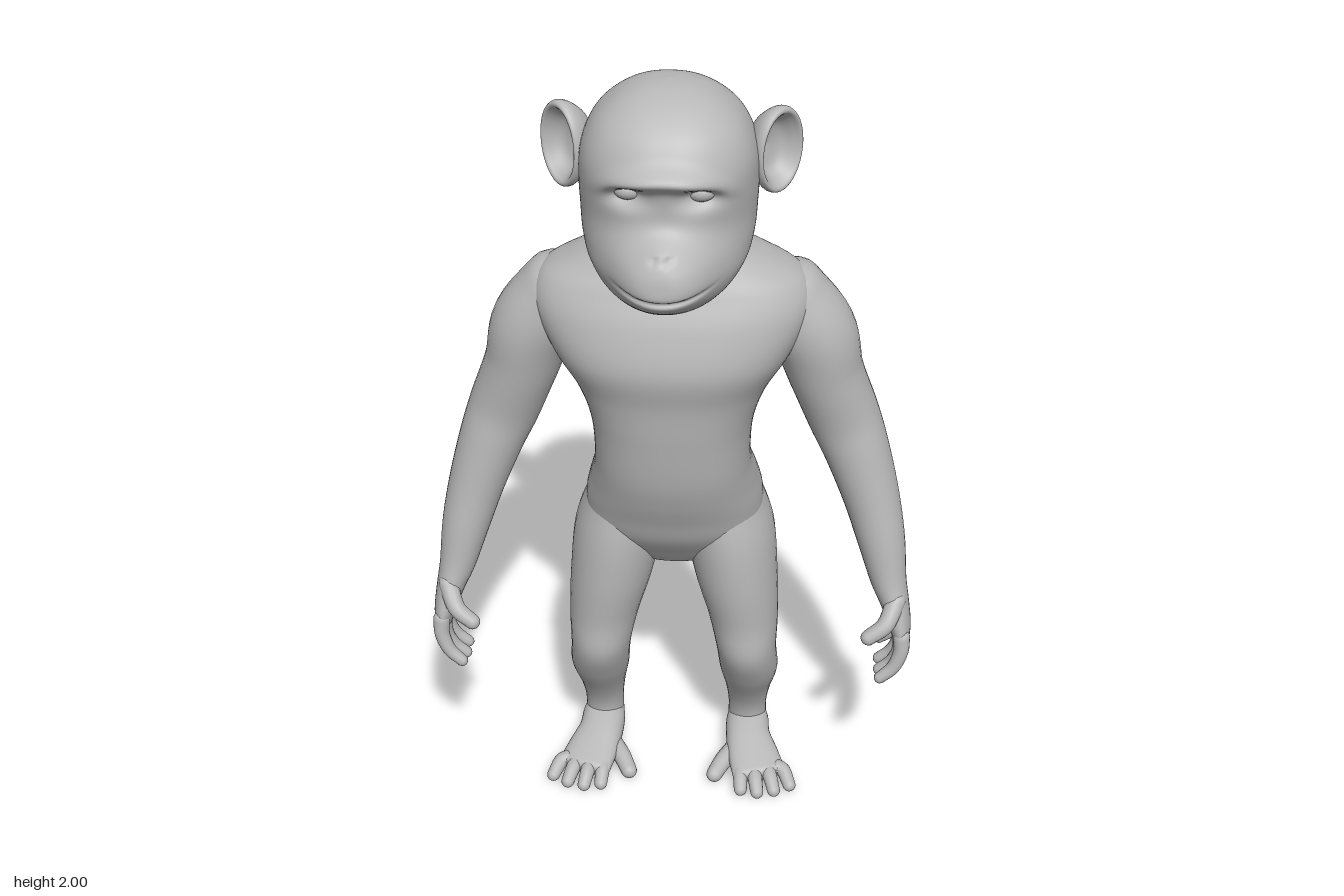
import * as THREE from 'three';

const skin = new THREE.MeshStandardMaterial({ color: 0xb8b8b8 });
skin.name = 'grey skin';

const V = (x, y, z) => new THREE.Vector3(x, y, z);
const bump = (d, r) => Math.exp(-(d / r) * (d / r));

// Smooth skin through rows [x, y, z, halfWidth, halfDepth].
// With ref the rings stand across the path; without it they lie level (path going down).
function loft(rows, { ref = null, sides = 32, steps = 6, power = 2, caps = [0, 0], warp = null } = {}) {
  const path = new THREE.CatmullRomCurve3(rows.map(r => V(r[0], r[1], r[2])), false, 'catmullrom', 0.5);
  const size = new THREE.CatmullRomCurve3(rows.map(r => V(r[3], r[4], 0)), false, 'catmullrom', 0.5);
  const n = (rows.length - 1) * steps, rings = [];
  const ring = (t, shift = 0, scale = 1) => {
    const c = path.getPoint(t), s = size.getPoint(t);
    const dir = ref ? path.getTangent(t) : V(0, -1, 0);
    const v = (ref || V(0, 0, 1)).clone().addScaledVector(dir, -(ref || V(0, 0, 1)).dot(dir)).normalize();
    const u = v.clone().cross(dir);
    c.addScaledVector(dir, shift * Math.min(s.x, s.y));
    rings.push({ c, u, v, a: Math.max(s.x, 0) * scale, b: Math.max(s.y, 0) * scale });
  };
  // rounded start, body, rounded end
  const K = 6;
  if (caps[0]) for (let k = 0; k < K; k++) {
    const f = (k / K) * Math.PI / 2;
    ring(0, -caps[0] * Math.cos(f), Math.sin(f));
  }
  for (let i = 0; i <= n; i++) ring(i / n);
  if (caps[1]) for (let k = 1; k <= K; k++) {
    const f = (k / K) * Math.PI / 2;
    ring(1, caps[1] * Math.sin(f), Math.cos(f));
  }
  const pos = [], index = [];
  const pow = q => Math.sign(q) * Math.pow(Math.abs(q), 2 / power);
  rings.forEach((r, i) => {
    for (let j = 0; j < sides; j++) {
      const t = (j / sides) * Math.PI * 2;
      const p = r.c.clone().addScaledVector(r.u, r.a * pow(Math.cos(t))).addScaledVector(r.v, r.b * pow(Math.sin(t)));
      if (warp) warp(p);
      pos.push(p.x, p.y, p.z);
      if (i === rings.length - 1) continue;
      const a = i * sides + j, b = i * sides + (j + 1) % sides;
      index.push(a, b, b + sides, a, b + sides, a + sides);
    }
  });
  const g = new THREE.BufferGeometry();
  g.setAttribute('position', new THREE.Float32BufferAttribute(pos, 3));
  g.setIndex(index);
  g.computeVertexNormals();
  return g;
}

// Level rows given as [y, halfWidth, zFront, zBack]
const level = rows => rows.map(([y, w, f, b]) => [0, y, (f + b) / 2, w, (f - b) / 2]);

// Finger or toe with a rounded tip
const digit = (pts, r, ref) => loft(
  pts.map((p, i) => [...p, r * (1 - 0.1 * i), r * (1 - 0.1 * i)]),
  { ref, sides: 14, caps: [1, 1] });

function mirrored(g) {
  const m = g.clone(), p = m.attributes.position, nrm = m.attributes.normal, ix = m.index.array;
  for (let i = 0; i < p.count; i++) { p.setX(i, -p.getX(i)); nrm.setX(i, -nrm.getX(i)); }
  for (let i = 0; i < ix.length; i += 3) [ix[i], ix[i + 1]] = [ix[i + 1], ix[i]];
  return m;
}

// Facial relief pushed into the front of the head
function faceRelief(p) {
  const { x, y } = p, ax = Math.abs(x);
  const front = THREE.MathUtils.smoothstep(p.z, 0.05, 0.18);
  let d = 0.09 * Math.exp(-Math.pow((x / 0.115) ** 2 + ((y - 1.645) / 0.085) ** 2, 1.5)); // muzzle
  d += 0.03 * bump(y - 1.862 + 2 * x * x, 0.022) * Math.exp(-((x / 0.13) ** 4));          // brow ridge
  d -= 0.03 * bump(ax - 0.075, 0.04) * bump(y - 1.815, 0.025);                            // eye sockets
  d += 0.012 * bump(x, 0.028) * bump(y - 1.712, 0.02);                                    // nose
  d -= 0.012 * bump(ax - 0.014, 0.008) * bump(y - 1.703, 0.007);                          // nostrils
  d -= 0.011 * bump(y - 1.612 - 1.2 * x * x, 0.006) * Math.exp(-((x / 0.1) ** 6));        // mouth line
  p.z += d * front;
}

export function createModel() {
  const model = new THREE.Group();
  model.name = 'ape';
  const add = (name, g) => {
    const m = new THREE.Mesh(g, skin);
    m.name = name;
    model.add(m);
  };
  const pair = (name, g) => {
    add('left' + name, g);
    add('right' + name, mirrored(g));
  };
  const Y = V(0, 1, 0), Z = V(0, 0, 1);

  // Head
  add('head', loft(level([
    [2.0, 0, 0.05, 0.05], [1.994, 0.05, 0.1, 0], [1.975, 0.1, 0.155, -0.045],
    [1.94, 0.145, 0.205, -0.09], [1.9, 0.172, 0.235, -0.12], [1.85, 0.188, 0.25, -0.143],
    [1.79, 0.192, 0.245, -0.153], [1.73, 0.19, 0.235, -0.145], [1.67, 0.185, 0.235, -0.12],
    [1.62, 0.17, 0.24, -0.08], [1.575, 0.135, 0.24, -0.03], [1.545, 0.085, 0.215, 0.03],
    [1.535, 0, 0.13, 0.13],
  ]), { sides: 160, steps: 12, power: 2.3, warp: faceRelief }));

  // Eyes
  const eye = new THREE.SphereGeometry(0.028, 24, 16);
  eye.scale(1.15, 0.8, 1).translate(0.075, 1.818, 0.2);
  pair('Eye', eye);

  // Cupped ears
  const earProfile = new THREE.SplineCurve([
    [0, -0.06], [0.55, -0.05], [0.85, -0.025], [1, 0], [0.98, 0.016],
    [0.88, 0.018], [0.76, 0.005], [0.5, -0.02], [0, -0.03],
  ].map(p => new THREE.Vector2(...p))).getPoints(40);
  earProfile.forEach(p => { p.x = Math.max(p.x, 0); });
  const ear = new THREE.LatheGeometry(earProfile, 40);
  ear.rotateX(Math.PI / 2).scale(0.068, 0.097, 1).rotateY(0.86).translate(0.225, 1.833, 0.02);
  pair('Ear', ear);

  // Neck, chest, belly and seat
  add('torso', loft(level([
    [1.68, 0.1, 0.05, -0.11], [1.61, 0.12, 0.05, -0.14], [1.57, 0.16, 0.055, -0.17],
    [1.535, 0.23, 0.065, -0.195], [1.49, 0.3, 0.085, -0.215], [1.42, 0.315, 0.115, -0.232],
    [1.32, 0.275, 0.137, -0.236], [1.22, 0.22, 0.118, -0.23], [1.12, 0.19, 0.105, -0.23],
    [1.0, 0.185, 0.085, -0.24], [0.92, 0.2, 0.06, -0.305], [0.85, 0.215, 0.03, -0.333],
    [0.78, 0.215, 0, -0.325], [0.71, 0.19, -0.05, -0.27], [0.67, 0.1, -0.08, -0.2],
  ]), {
    sides: 72, steps: 8, power: 2.3, caps: [0.1, 0.15],
    warp: p => { if (p.z < -0.15) p.z += 0.05 * bump(p.x, 0.03) * bump(p.y - 0.79, 0.08); },
  }));

  // Arms running into the palms
  pair('Arm', loft([
    [0.25, 1.42, -0.09, 0.1, 0.11], [0.32, 1.33, -0.09, 0.1, 0.105], [0.355, 1.22, -0.095, 0.088, 0.092],
    [0.4, 1.1, -0.105, 0.085, 0.082], [0.435, 1.01, -0.1, 0.078, 0.08], [0.475, 0.89, -0.085, 0.068, 0.074],
    [0.505, 0.78, -0.06, 0.058, 0.062], [0.527, 0.68, -0.04, 0.045, 0.052], [0.545, 0.62, -0.033, 0.036, 0.058],
    [0.562, 0.555, -0.03, 0.028, 0.07], [0.568, 0.515, -0.03, 0.022, 0.066],
  ], { ref: Z, caps: [0.7, 0.7] }));

  // Fingers as [root z, tip z, tip y]
  [[0.023, 0.04, 0.425], [-0.012, -0.025, 0.4], [-0.047, -0.063, 0.405], [-0.08, -0.102, 0.44]]
    .forEach(([z0, z1, y1], i) => {
      const z = t => z0 + (z1 - z0) * t;
      pair('Finger' + (i + 1), digit([
        [0.567, 0.54, z(0)], [0.567, y1 + 0.075, z(0.4)], [0.55, y1 + 0.03, z(0.75)], [0.52, y1, z(1)],
      ], 0.021, Z));
    });
  pair('Thumb', digit([[0.548, 0.635, 0], [0.525, 0.59, 0.04], [0.485, 0.56, 0.055]], 0.024, Z));

  // Legs
  pair('Leg', loft([
    [0.115, 0.86, -0.16, 0.09, 0.14], [0.135, 0.75, -0.155, 0.11, 0.15], [0.155, 0.62, -0.13, 0.103, 0.125],
    [0.175, 0.5, -0.12, 0.088, 0.105], [0.185, 0.4, -0.112, 0.076, 0.095], [0.192, 0.3, -0.15, 0.074, 0.085],
    [0.191, 0.2, -0.195, 0.058, 0.065], [0.19, 0.13, -0.215, 0.05, 0.053], [0.19, 0.06, -0.225, 0.05, 0.055],
  ], { caps: [0.4, 0.4] }));

  // Feet
  pair('Foot', loft([
    [0.195, 0.055, -0.255, 0.04, 0.036], [0.192, 0.062, -0.21, 0.055, 0.048], [0.195, 0.055, -0.15, 0.058, 0.044],
    [0.21, 0.045, -0.09, 0.066, 0.034], [0.228, 0.034, -0.03, 0.07, 0.024],
  ], { ref: Y, power: 2.3, caps: [0.9, 0.8] }));

  // Toes as [root x, tip x, tip z]
  [[0.178, 0.182, 0.02], [0.212, 0.225, 0.028], [0.246, 0.268, 0.018], [0.276, 0.308, -0.005]]
    .forEach(([x0, x1, z1], i) => pair('Toe' + (i + 1), digit([
      [x0, 0.036, -0.05], [(x0 + x1) / 2, 0.034, z1 - 0.035], [x1, 0.017, z1],
    ], 0.021, Y)));
  pair('BigToe', digit([[0.17, 0.04, -0.13], [0.135, 0.033, -0.075], [0.112, 0.021, -0.03]], 0.026, Y));

  return model;
}
